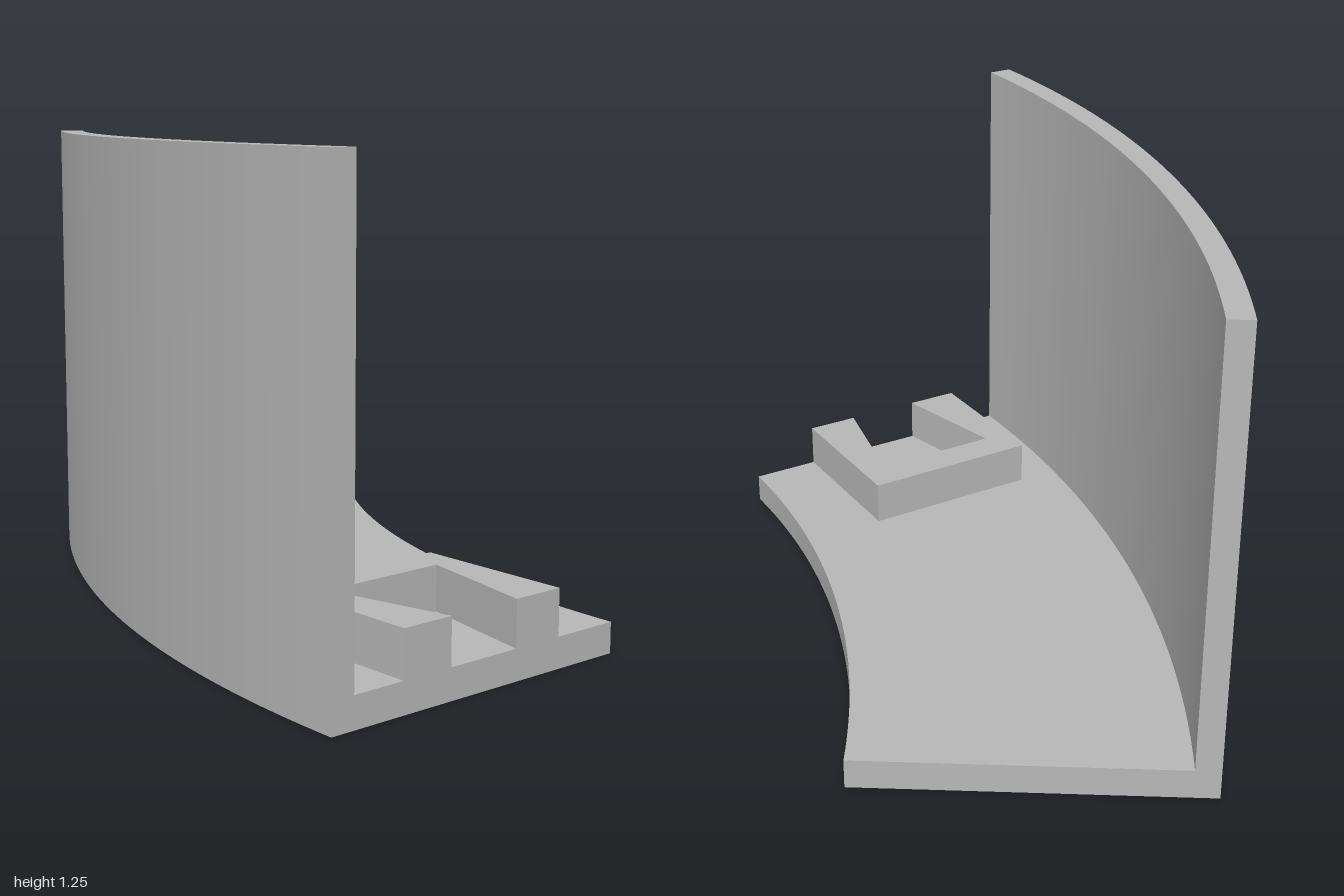
import * as THREE from 'three';
import { toCreasedNormals } from 'three/addons/utils/BufferGeometryUtils.js';

// Centre of the arc in plan, its radii and its end angles
const CENTRE_X = 2.96, CENTRE_Z = 0.173;
const R_OUTER = 3.49, R_WALL = 3.425, R_INNER = 2.583;
const A_BACK = -0.3428, A_FRONT = 0.2384;
const FLOOR = 0.08, WALL_TOP = 1.25, BLOCK_TOP = 0.2;

const polygon = (points) => new THREE.Shape(points.map(([x, y]) => new THREE.Vector2(x, y)));

// L-shaped section (x = minus the radius) extruded, then bent around the arc
function curvedSection() {
  const profile = polygon([
    [-R_OUTER, 0], [-R_INNER, 0], [-R_INNER, FLOOR],
    [-R_WALL, FLOOR], [-R_WALL, WALL_TOP], [-R_OUTER, WALL_TOP],
  ]);
  const geometry = new THREE.ExtrudeGeometry(profile, { depth: 1, steps: 40, bevelEnabled: false });
  const pos = geometry.attributes.position;
  for (let i = 0; i < pos.count; i++) {
    const r = -pos.getX(i);
    const a = THREE.MathUtils.lerp(A_BACK, A_FRONT, pos.getZ(i));
    pos.setX(i, CENTRE_X - r * Math.cos(a));
    pos.setZ(i, CENTRE_Z + r * Math.sin(a));
  }
  return toCreasedNormals(geometry, 0.4);
}

// U-shaped block in plan, open at the front edge of the floor
function uBlock() {
  const plan = polygon([
    [-0.226, 0.947], [-0.083, 0.912], [-0.237, 0.602], [0.112, 0.515],
    [0.123, 0.862], [0.265, 0.828], [0.16, 0.402], [-0.33, 0.525],
  ].map(([x, z]) => [x, -z]));
  const geometry = new THREE.ExtrudeGeometry(plan, { depth: BLOCK_TOP - FLOOR, bevelEnabled: false });
  geometry.rotateX(-Math.PI / 2);
  geometry.translate(0, FLOOR, 0);
  return geometry;
}

export function createModel() {
  const group = new THREE.Group();
  group.name = 'curvedWallSection';
  const grey = new THREE.MeshStandardMaterial({ color: 0xb8b8b8 });
  grey.name = 'grey';

  const add = (name, geometry) => {
    const mesh = new THREE.Mesh(geometry, grey);
    mesh.name = name;
    group.add(mesh);
  };
  add('wallAndFloor', curvedSection());
  add('openBlock', uBlock());
  return group;
}
